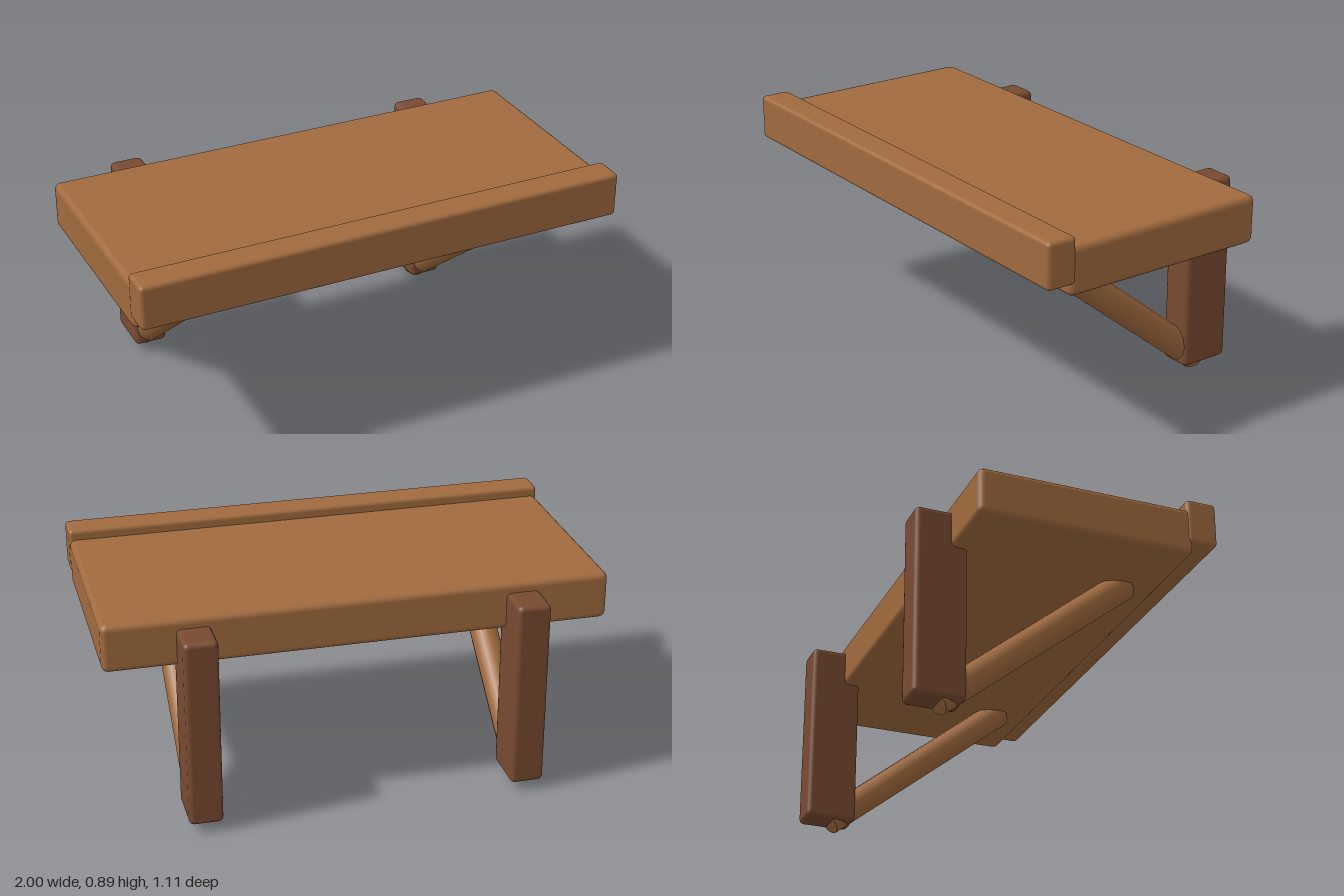
import * as THREE from 'three';
import { RoundedBoxGeometry } from 'three/addons/geometries/RoundedBoxGeometry.js';

const lightWood = new THREE.MeshStandardMaterial({ color: 0xa06a3e });
lightWood.name = 'light wood';
const darkWood = new THREE.MeshStandardMaterial({ color: 0x784a31 });
darkWood.name = 'dark wood';

// Soft-edged beam given by its lower and upper corners
function beam(name, min, max, radius, material) {
  const [w, h, d] = max.map((v, i) => v - min[i]);
  const mesh = new THREE.Mesh(new RoundedBoxGeometry(w, h, d, 2, radius), material);
  mesh.position.set(...max.map((v, i) => (v + min[i]) / 2));
  mesh.name = name;
  return mesh;
}

// Round strut between two points
function strut(name, from, to, radius, material) {
  const axis = to.clone().sub(from);
  const mesh = new THREE.Mesh(new THREE.CylinderGeometry(radius, radius, axis.length(), 12), material);
  mesh.position.copy(from).add(to).multiplyScalar(0.5);
  mesh.quaternion.setFromUnitVectors(new THREE.Vector3(0, 1, 0), axis.normalize());
  mesh.name = name;
  return mesh;
}

export function createModel() {
  const model = new THREE.Group();
  model.name = 'wallShelf';

  // Board and raised front lip
  model.add(beam('shelfBoard', [-0.997, 0.655, -0.413], [0.997, 0.847, 0.455], 0.025, lightWood));
  model.add(beam('frontLip', [-1, 0.705, 0.431], [1, 0.888, 0.555], 0.016, lightWood));

  // Wall posts with diagonal braces
  for (const [side, x] of [['left', 0.647], ['right', -0.647]]) {
    const bracket = new THREE.Group();
    bracket.name = side + 'Bracket';
    bracket.add(beam(side + 'Post', [x - 0.067, 0.037, -0.555], [x + 0.067, 0.806, -0.346], 0.02, darkWood));
    bracket.add(strut(side + 'Brace', new THREE.Vector3(x, 0.045, -0.445),
      new THREE.Vector3(x, 0.669, 0.325), 0.058, lightWood));
    model.add(bracket);
  }
  return model;
}
